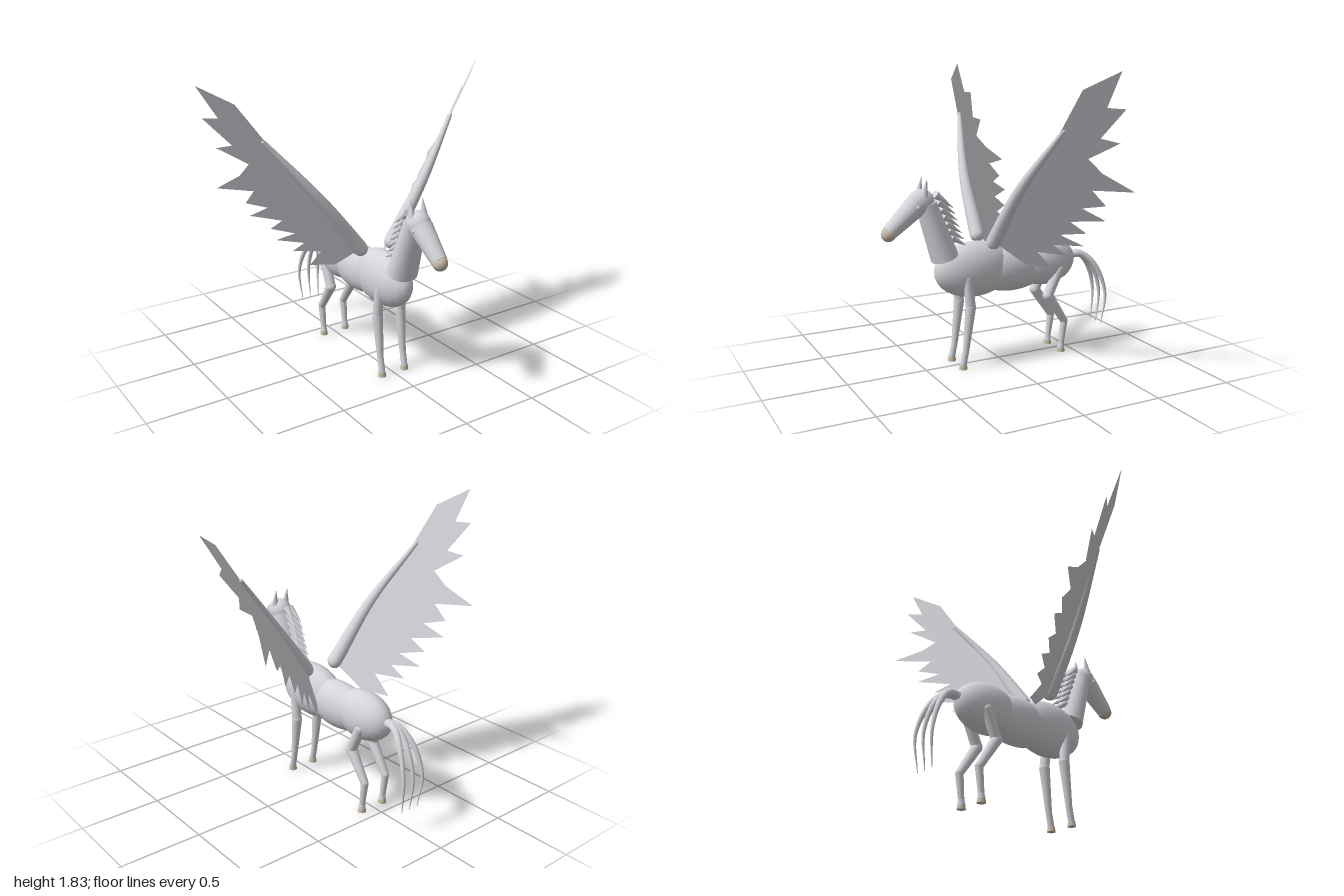
import * as THREE from 'three';

const mat = (name, color, side = THREE.FrontSide) => {
  const m = new THREE.MeshStandardMaterial({ color, side });
  m.name = name;
  return m;
};

export function createModel() {
  const coat = mat('coat', 0xd4d5da);
  const feather = mat('feather', 0xd4d5da, THREE.DoubleSide);
  const horn = mat('horn', 0xc9bca6);
  const model = new THREE.Group();
  model.name = 'wingedHorse';
  const V = (p) => new THREE.Vector3(...p);

  const add = (name, geometry, material, parent = model) => {
    const mesh = new THREE.Mesh(geometry, material);
    mesh.name = name;
    parent.add(mesh);
    return mesh;
  };
  const ball = (name, p, r, material = coat, parent = model) => {
    const mesh = add(name, new THREE.SphereGeometry(1, 24, 16), material, parent);
    mesh.position.set(...p);
    mesh.scale.set(...r);
    return mesh;
  };
  // Tapered cylinder running from point a to point b
  const limb = (name, a, b, ra, rb, material = coat, parent = model) => {
    const dir = V(b).sub(V(a));
    const mesh = add(name, new THREE.CylinderGeometry(rb, ra, dir.length(), 20), material, parent);
    mesh.position.copy(V(a)).addScaledVector(dir, 0.5);
    mesh.quaternion.setFromUnitVectors(new THREE.Vector3(0, 1, 0), dir.normalize());
    return mesh;
  };
  // Tube along a curve, its radius shrinking from r0 to r1
  const taperedTube = (points, r0, r1, power = 1) => {
    const curve = new THREE.CatmullRomCurve3(points.map(V));
    const n = 24, sides = 14;
    const geo = new THREE.TubeGeometry(curve, n, 1, sides);
    const pos = geo.attributes.position;
    const v = new THREE.Vector3();
    for (let i = 0; i < pos.count; i++) {
      const t = Math.floor(i / (sides + 1)) / n;
      const c = curve.getPointAt(t);
      v.fromBufferAttribute(pos, i).sub(c).multiplyScalar(r0 + (r1 - r0) * t ** power).add(c);
      pos.setXYZ(i, v.x, v.y, v.z);
    }
    return geo;
  };

  // Body
  ball('chest', [0, 0.605, 0.17], [0.12, 0.175, 0.265]);
  ball('barrel', [0, 0.587, -0.09], [0.112, 0.152, 0.27]);
  ball('rump', [0, 0.6, -0.325], [0.12, 0.155, 0.22]);

  // Neck and head
  limb('neck', [0, 0.7, 0.367], [0, 1.04, 0.485], 0.085, 0.062).scale.x = 1.17;
  ball('skull', [0, 1.05, 0.515], [0.072, 0.08, 0.082]);
  limb('muzzle', [0, 1.035, 0.545], [0, 0.885, 0.718], 0.07, 0.047);
  ball('nose', [0, 0.877, 0.722], [0.046, 0.045, 0.045], horn);

  for (const s of [1, -1]) {
    ball('eye', [s * 0.062, 1.03, 0.557], [0.014, 0.014, 0.014]);
    limb('ear', [s * 0.042, 1.09, 0.512], [s * 0.044, 1.195, 0.493], 0.024, 0.001);
  }

  // Mane: pairs of tufts down the back of the neck
  const mane = new THREE.Group();
  mane.name = 'mane';
  model.add(mane);
  for (let i = 0; i < 7; i++) {
    const t = i / 6;
    const y = 1.09 - 0.27 * t, z = 0.425 - 0.1 * t;
    for (const s of [1, -1]) {
      limb('maneTuft', [s * 0.012, y, z], [s * 0.028, y - 0.085 + 0.03 * t, z - 0.105 + 0.015 * t],
        0.024, 0.001, coat, mane);
    }
  }

  // Legs: joints listed as [y, z, radius] from top to ground
  const legs = {
    frontLeg: [[0.57, 0.253, 0.029], [0.39, 0.235, 0.033], [0.12, 0.268, 0.02], [0.025, 0.288, 0.02]],
    hindLeg: [[0.555, -0.388, 0.034], [0.39, -0.312, 0.034], [0.205, -0.435, 0.024], [0.055, -0.416, 0.018],
      [0.025, -0.413, 0.023]],
  };
  for (const [name, joints] of Object.entries(legs)) {
    for (const s of [1, -1]) {
      const leg = new THREE.Group();
      leg.name = name;
      model.add(leg);
      const x = s * 0.085;
      joints.forEach(([y, z, r], i) => {
        if (i < joints.length - 1) {
          ball('joint', [x, y, z], [r, r, r], coat, leg);
          const [y2, z2, r2] = joints[i + 1];
          limb('legSegment', [x, y, z], [x, y2, z2], r, i === 0 ? r2 * 0.95 : r2, coat, leg);
        } else {
          limb('hoof', [x, 0, z], [x, 0.03, z], 0.026, 0.022, horn, leg);
        }
      });
    }
  }

  // Tail strands
  for (const s of [-1, 0, 1]) {
    add('tailStrand', taperedTube([
      [0, 0.615, -0.5], [s * 0.015, 0.617, -0.6], [s * 0.05, 0.535, -0.69],
      [s * 0.075, 0.35, -0.757], [s * 0.062, 0.13, -0.738],
    ], 0.027, 0.002), coat);
  }

  // Wings: a flat, tilted sheet of feathers behind a curved arm
  const outline = [
    [0.12, 0.77], [0.38, 1.15], [0.67, 1.51], [0.83, 1.73], [1, 1.83],
    [0.877, 1.636], [0.94, 1.63], [0.79, 1.465], [0.85, 1.44], [0.7, 1.345], [0.72, 1.26],
    [0.797, 1.153], [0.642, 1.155], [0.657, 1.06], [0.56, 1.04], [0.62, 0.965],
    [0.48, 0.95], [0.513, 0.877], [0.405, 0.86], [0.47, 0.79], [0.35, 0.79],
    [0.38, 0.716], [0.265, 0.735], [0.283, 0.61], [0.18, 0.64], [0.135, 0.74],
  ];
  for (const s of [1, -1]) {
    const wing = new THREE.Group();
    wing.name = s > 0 ? 'leftWing' : 'rightWing';
    model.add(wing);
    const sheet = new THREE.ShapeGeometry(new THREE.Shape(outline.map(([x, y]) => new THREE.Vector2(s * x, y))));
    const pos = sheet.attributes.position;
    for (let i = 0; i < pos.count; i++) {
      pos.setZ(i, 0.05 - 1.17 * (Math.abs(pos.getX(i)) - 0.13) + 0.727 * (pos.getY(i) - 0.76));
    }
    sheet.computeVertexNormals();
    add('feathers', sheet, feather, wing);
    add('wingArm', taperedTube([[s * 0.115, 0.79, 0.092], [s * 0.38, 1.145, 0.055], [s * 0.67, 1.5, -0.05]],
      0.047, 0.013, 1.2), coat, wing);
    ball('shoulder', [s * 0.115, 0.79, 0.092], [0.045, 0.045, 0.045], coat, wing);
    ball('wingTip', [s * 0.67, 1.5, -0.05], [0.013, 0.013, 0.013], coat, wing);
  }
  return model;
}
